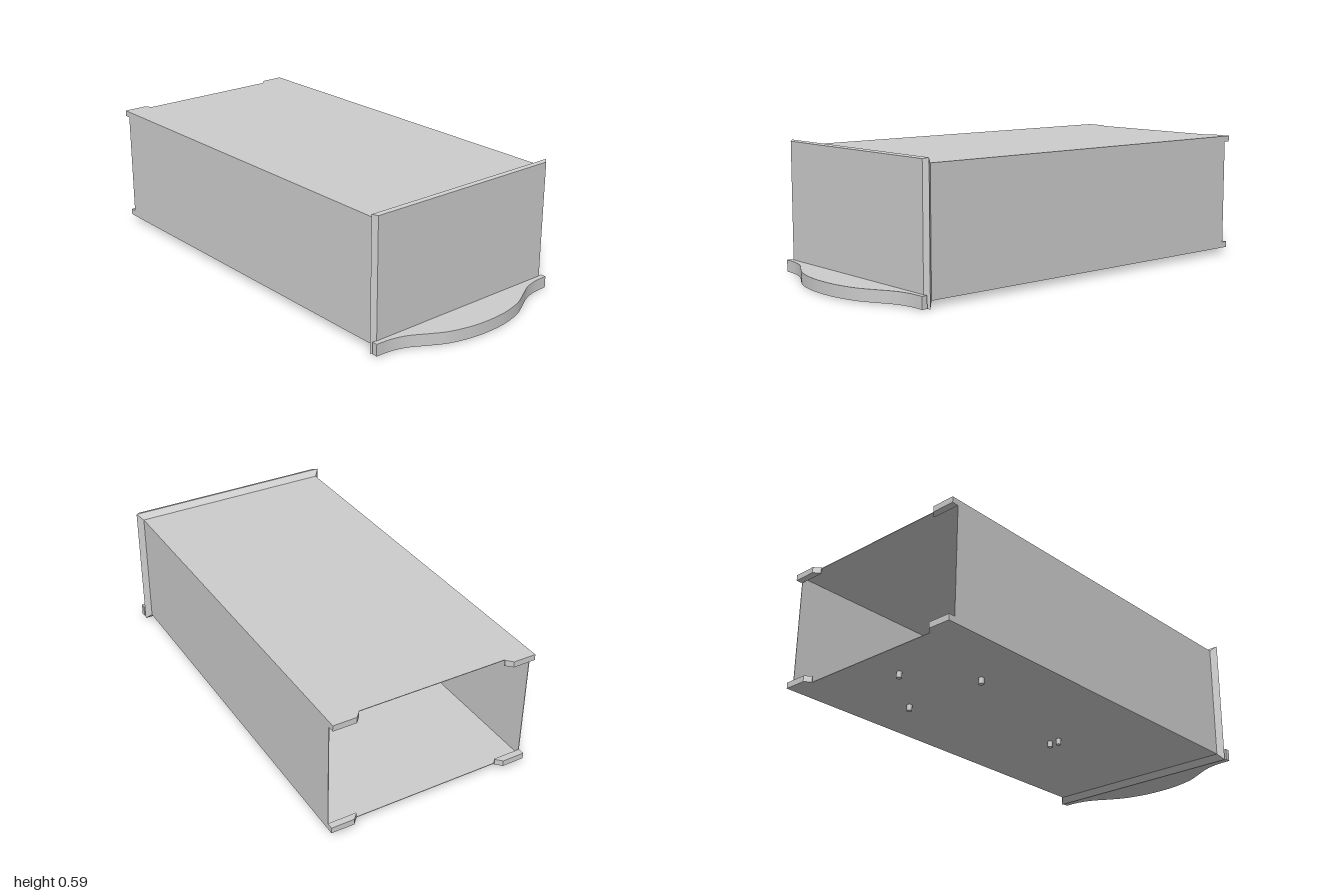
import * as THREE from 'three';
import { ConvexGeometry } from 'three/addons/geometries/ConvexGeometry.js';

const material = new THREE.MeshStandardMaterial({ color: 0xcccccc, side: THREE.DoubleSide });

const HALF_W = 0.47, BOTTOM = 0.027, TOP = 0.567;   // sleeve section
const FRONT = 0.8, BACK = -0.97, TAB_BACK = -1;     // sleeve length
const WALL = 0.003, TAB_H = 0.027;

export function createModel() {
  const group = new THREE.Group();

  const add = (name, geometry, x = 0, y = 0, z = 0) => {
    const mesh = new THREE.Mesh(geometry, material);
    mesh.name = name;
    mesh.position.set(x, y, z);
    group.add(mesh);
    return mesh;
  };

  // Horizontal slab: outline given as [x, z], standing from y upward
  const addSlab = (name, shape, y, height, curveSegments = 12) => {
    const geometry = new THREE.ExtrudeGeometry(shape, { depth: height, bevelEnabled: false, curveSegments });
    geometry.rotateX(-Math.PI / 2); // shape y becomes -z
    return add(name, geometry, 0, y, 0);
  };
  const outline = (points) => new THREE.Shape(points.map(([x, z]) => new THREE.Vector2(x, -z)));

  // Open-backed sleeve: floor, roof and two side walls
  const length = FRONT - BACK, midZ = (FRONT + BACK) / 2;
  const plate = new THREE.BoxGeometry(2 * HALF_W, WALL, length);
  add('floor', plate, 0, BOTTOM + WALL / 2, midZ);
  add('roof', plate, 0, TOP - WALL / 2, midZ);
  for (const side of [1, -1]) {
    add(side > 0 ? 'leftWall' : 'rightWall', new THREE.BoxGeometry(WALL, TOP - BOTTOM, length),
      side * (HALF_W - WALL / 2), (TOP + BOTTOM) / 2, midZ);

    // Bevelled tabs on the back corners
    for (const [name, y] of [['lowerTab', BOTTOM], ['upperTab', TOP - TAB_H]]) {
      addSlab(name, outline([
        [side * HALF_W, BACK], [side * HALF_W, TAB_BACK],
        [side * 0.365, TAB_BACK], [side * 0.34, BACK - 0.004], [side * 0.34, BACK],
      ]), y, TAB_H);
    }
  }

  // Front panel, flaring out from the sleeve and chamfered at its face
  const rings = [
    [FRONT, HALF_W, BOTTOM, TOP],
    [0.825, 0.495, 0, 0.592],
    [0.843, 0.476, 0.006, 0.587],
  ];
  const corners = rings.flatMap(([z, w, y0, y1]) =>
    [[-w, y0], [w, y0], [w, y1], [-w, y1]].map(([x, y]) => new THREE.Vector3(x, y, z)));
  add('frontPanel', new ConvexGeometry(corners));

  // Curved pull ledge along the foot of the panel
  const half = [[0.495, 0.865], [0.42, 0.869], [0.35, 0.889], [0.27, 0.933], [0.2, 0.968], [0.1, 0.993]];
  const wave = [...half, [0, 1], ...half.map(([x, z]) => [-x, z]).reverse()];
  const ledge = new THREE.Shape();
  ledge.moveTo(-0.495, -0.84);
  ledge.lineTo(0.495, -0.84);
  ledge.lineTo(0.495, -0.865);
  ledge.splineThru(wave.slice(1).map(([x, z]) => new THREE.Vector2(x, -z)));
  ledge.closePath();
  addSlab('pullLedge', ledge, 0.005, 0.053, 5);

  // Small pegs under the floor
  const peg = new THREE.CylinderGeometry(0.012, 0.012, BOTTOM + WALL, 16);
  for (const [x, z] of [[0.025, 0.17], [-0.025, 0.17], [0.21, -0.545], [-0.21, -0.545], [0, -0.805]]) {
    add('peg', peg, x, (BOTTOM + WALL) / 2, z);
  }

  return group;
}
